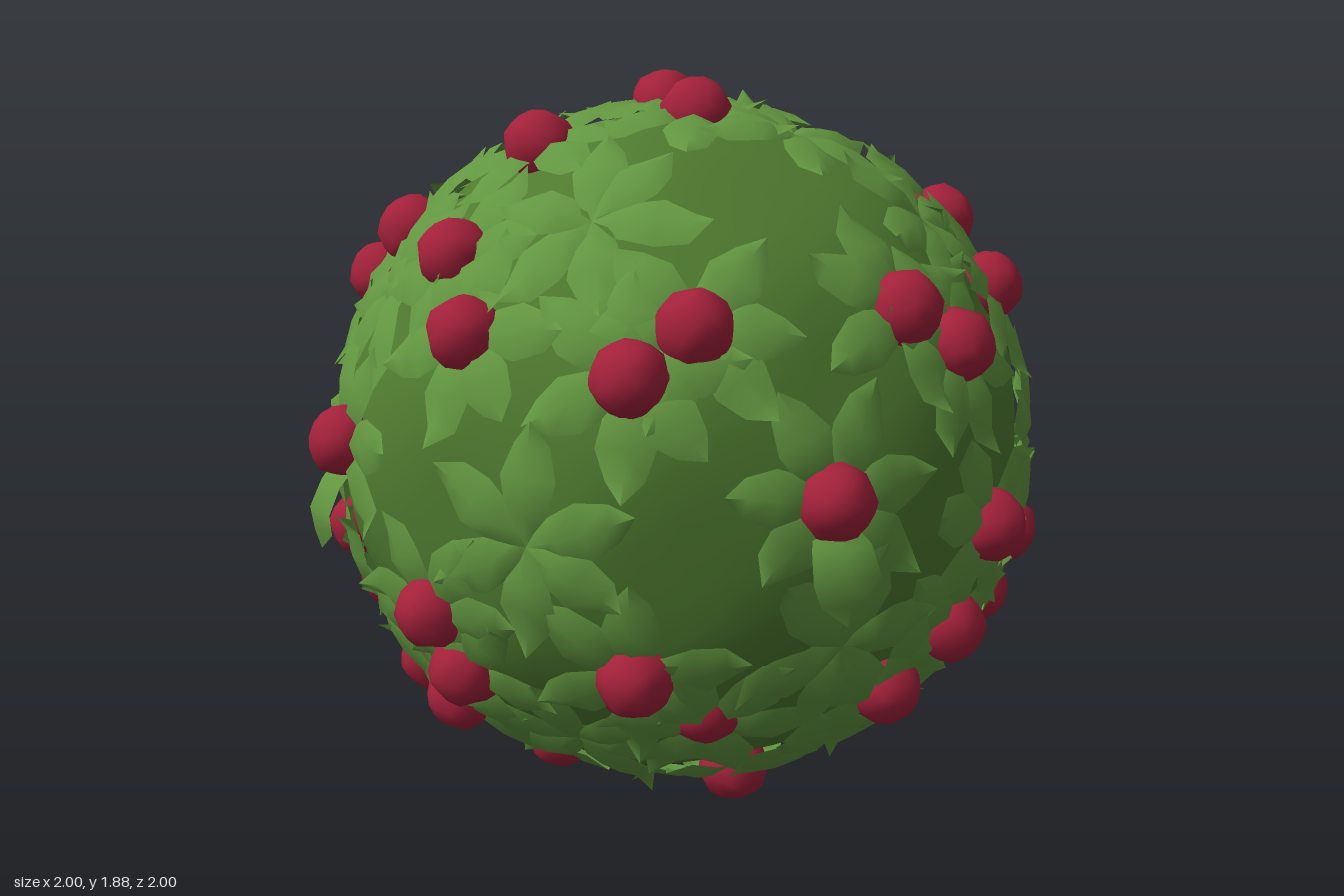
import * as THREE from 'three';
import { mergeGeometries, mergeVertices } from 'three/addons/utils/BufferGeometryUtils.js';

const RX = 0.885, RY = 0.855, CY = 0.92; // ellipsoid body

const mat = (name, color, side = THREE.FrontSide) => {
  const m = new THREE.MeshStandardMaterial({ color, side });
  m.name = name;
  return m;
};

let seed = 7;
const rand = () => (seed = (seed * 16807) % 2147483647) / 2147483647;

// Point on the body along the ray from its centre
const onBody = (dir, lift = 0) => {
  const k = 1 / Math.hypot(dir.x / RX, dir.y / RY, dir.z / RX);
  return dir.clone().multiplyScalar(k + lift);
};

// Pull vertices in and out by a smooth ripple
function lumpy(geo, amount, freq) {
  geo.deleteAttribute('normal');
  geo.deleteAttribute('uv');
  const g = mergeVertices(geo, 1e-4), p = g.attributes.position, v = new THREE.Vector3();
  for (let i = 0; i < p.count; i++) {
    v.fromBufferAttribute(p, i);
    const n = v.clone().normalize().multiplyScalar(freq);
    v.multiplyScalar(1 + amount * Math.sin(n.x + 1) * Math.sin(n.y + 2) * Math.cos(n.z));
    p.setXYZ(i, v.x, v.y, v.z);
  }
  g.computeVertexNormals();
  return g;
}

// Folded pointed leaf from stations [distance, height, half width], running along +x
function leaf(stations, angle, fold = 0.022) {
  const pos = [], idx = [];
  stations.forEach(([r, h, w], i) => {
    const f = w > 0 ? fold : 0;
    pos.push(r, w, h - f, r, 0, h, r, -w, h - f);
    if (i) for (let c = 0; c < 2; c++) {
      const a = (i - 1) * 3 + c, b = a + 3;
      idx.push(a, a + 1, b, b, a + 1, b + 1);
    }
  });
  const g = new THREE.BufferGeometry();
  g.setAttribute('position', new THREE.Float32BufferAttribute(pos, 3));
  g.setIndex(idx);
  // counter-clockwise from outside
  for (let i = 0; i < idx.length; i += 3) [idx[i + 1], idx[i + 2]] = [idx[i + 2], idx[i + 1]];
  g.setIndex(idx);
  g.computeVertexNormals();
  return g.rotateZ(angle);
}

// Star of leaves hugging the body; local +z points outward
function rosette(angles, extra = []) {
  const leaves = angles.map((a) => {
    const len = 0.25 + rand() * 0.05, tip = 0.035 + rand() * 0.05;
    const hug = (t, h, w) => [t * len, h - (t * len) ** 2 / 1.78, w];
    return leaf([hug(0, 0.025, 0.03), hug(0.3, 0.05, 0.055), hug(0.55, 0.055, 0.07),
      hug(0.8, 0.05, 0.045), hug(1, tip, 0)], a);
  });
  return mergeGeometries([...leaves, ...extra]);
}

const deg = (list) => list.map((a) => (a * Math.PI) / 180);

// Expand a point by its mirror flags
function mirrored([x, y, z, mx, mz]) {
  const out = [];
  for (const sx of mx ? [1, -1] : [1])
    for (const sz of mz ? [1, -1] : [1]) out.push(new THREE.Vector3(x * sx, y - CY, z * sz));
  return out;
}

// x, y, z, mirror in x, mirror in z
const BERRIES = [
  [0.27, 1.40, 0.73, 1, 1], [0.43, 1.30, 0.73, 1, 1],
  [0.67, 1.50, 0.19, 1, 1], [0.72, 1.36, 0.39, 1, 1],
  [0.82, 0.66, 0.37, 1, 1], [0.74, 0.49, 0.37, 1, 1], [0.68, 0.33, 0.14, 1, 1],
  [0.51, 0.84, 0.76, 0, 1], [0.43, 0.57, 0.75, 0, 1], [0.25, 0.43, 0.74, 0, 1],
  [-0.43, 0.56, 0.75, 0, 1],
  [0.36, 0.11, 0, 1, 0], [0, 0.11, 0.36, 0, 1],
  [0, 1.79, 0.10, 0, 1], [-0.38, 1.72, 0, 0, 0],
];
const AXIS_BERRIES = [[0.91, 1.01, 0, 1, 0], [0, 1.01, 0.91, 0, 1]];
const BARE_ROSETTES = [
  [-0.63, 0.90, 0.62, 0, 1], [-0.40, 1.60, 0.42, 0, 1], [0.48, 1.55, 0.42, 0, 1],
  [0.22, 1.75, 0.22, 0, 1], [0.48, 0.30, 0.48, 1, 1], [-0.22, 0.40, 0.72, 0, 1],
  [0.74, 0.96, 0.46, 0, 1], [0.80, 1.42, 0, 1, 0],
];

export function createModel() {
  const model = new THREE.Group();
  model.name = 'berryBush';
  const bodyMat = mat('foliage green', 0x4e7a2f);
  const leafMat = mat('leaf green', 0x629640, THREE.DoubleSide);
  const berryMat = mat('berry red', 0xa3213a);

  // Rounded foliage body
  const bodyGeo = lumpy(new THREE.IcosahedronGeometry(1, 10), 0.025, 7);
  bodyGeo.scale(RX, RY, RX);
  bodyGeo.computeVertexNormals();
  const body = new THREE.Mesh(bodyGeo, bodyMat);
  body.name = 'foliageBody';
  body.position.y = CY;
  model.add(body);

  const stars = [0, 1, 2, 3].map(() =>
    rosette([0, 1, 2, 3, 4, 5].map((i) => ((i + 0.5 * (rand() - 0.5)) * Math.PI) / 3)));
  // Rosette with a large drooping leaf underneath
  const droop = leaf([[0.04, 0.03, 0.04], [0.10, 0.09, 0.075], [0.17, 0.115, 0.085],
    [0.23, 0.10, 0.06], [0.28, 0.08, 0]], -Math.PI / 2, 0.03);
  const axisStar = rosette(deg([65, 115, 8, 172, -42, -138]), [droop]);
  const berryGeo = lumpy(new THREE.IcosahedronGeometry(0.09, 2), 0.08, 5);

  const placed = [];
  // Stand a part on the body, facing outward with its y axis upward
  function place(geo, material, name, dir, lift, spin = 0) {
    const mesh = new THREE.Mesh(geo, material);
    mesh.name = name;
    mesh.position.copy(onBody(dir, lift));
    mesh.lookAt(mesh.position.clone().multiplyScalar(2));
    mesh.rotateZ(spin);
    mesh.position.y += CY;
    model.add(mesh);
  }
  function addStar(dir, geo, spin) {
    placed.push(dir);
    place(geo, leafMat, 'leafRosette', dir, -0.01, spin);
  }
  const anyStar = (dir) => addStar(dir, stars[placed.length % 4], rand() * 6.28);

  // Berries, each in its own rosette
  for (const p of BERRIES.flatMap(mirrored)) {
    const dir = p.normalize();
    anyStar(dir);
    place(berryGeo, berryMat, 'berry', dir, 0.02, rand() * 6.28);
  }
  for (const p of AXIS_BERRIES.flatMap(mirrored)) {
    const dir = p.normalize();
    addStar(dir, axisStar, 0);
    place(berryGeo, berryMat, 'berry', dir, 0.025);
  }
  // Half-hidden berries
  for (const p of mirrored([-0.24, 0.40, 0.74, 0, 1]))
    place(berryGeo, berryMat, 'hiddenBerry', p.normalize(), -0.035);

  // Leaves without berries, then fillers over the lower part
  BARE_ROSETTES.flatMap(mirrored).forEach((p) => anyStar(p.normalize()));
  for (let i = 0; i < 200; i++) {
    const y = -1 + i / 200 * 0.95, r = Math.sqrt(1 - y * y), a = i * 2.39996;
    const dir = new THREE.Vector3(r * Math.cos(a), y, r * Math.sin(a));
    if (placed.every((q) => q.distanceTo(dir) > 0.3)) anyStar(dir);
  }
  return model;
}
